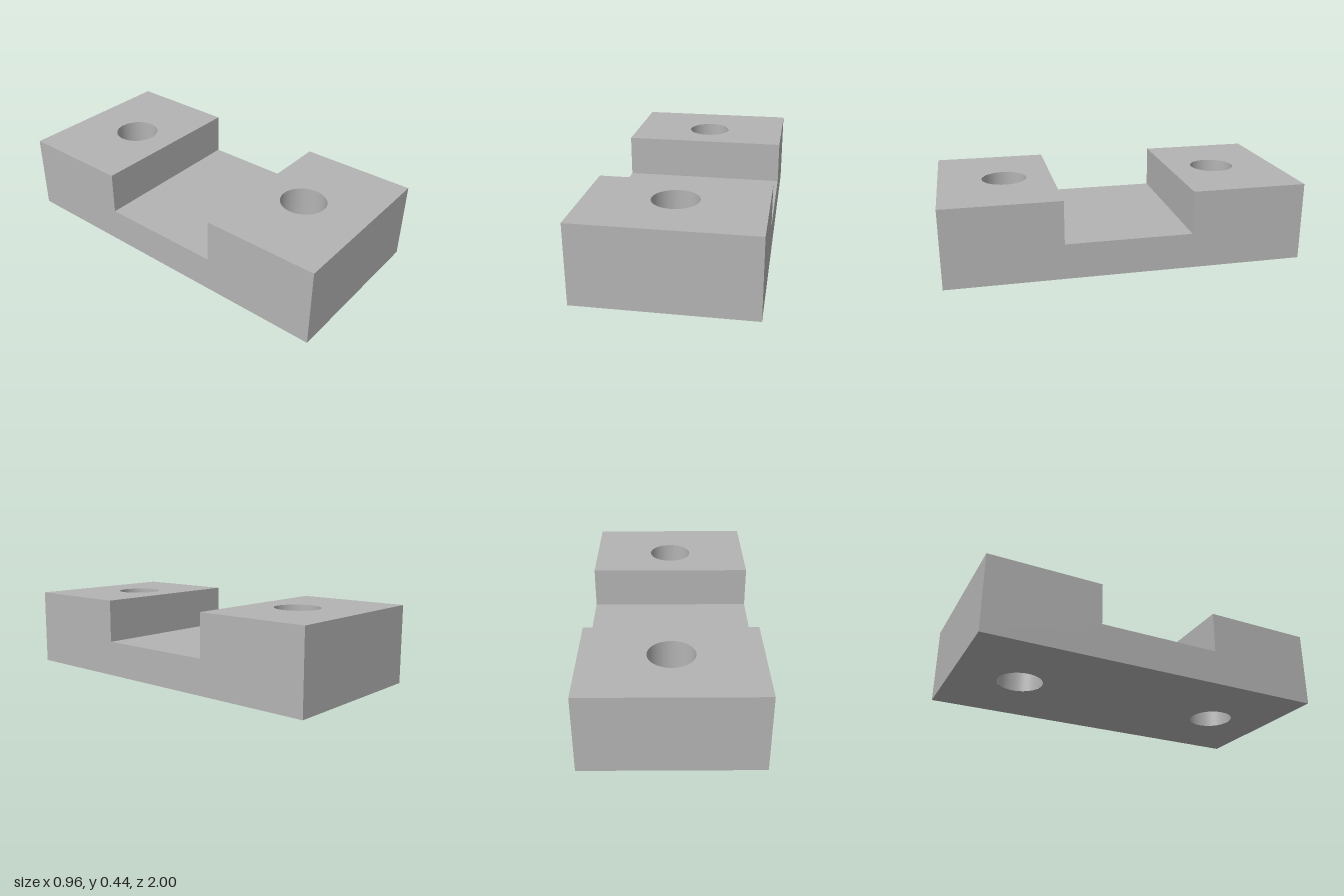
import * as THREE from 'three';
import { mergeGeometries } from 'three/addons/utils/BufferGeometryUtils.js';

const HALF_W = 0.478, HALF_L = 1, HEIGHT = 0.443;
const FLOOR = 0.2, SLOT = 0.355;          // channel floor height and half length
const HOLE_R = 0.127, HOLE_Z = 0.627;
const SEG = 48;

// Flat rectangle centred on the origin, facing +z, with optional holes along its y
function plate(w, h, holes = []) {
  const s = new THREE.Shape([
    [-w / 2, -h / 2], [w / 2, -h / 2], [w / 2, h / 2], [-w / 2, h / 2],
  ].map(([x, y]) => new THREE.Vector2(x, y)));
  for (const y of holes) s.holes.push(new THREE.Path().absarc(0, y, HOLE_R, 0, Math.PI * 2, true));
  return new THREE.ShapeGeometry(s, SEG);
}

export function createModel() {
  const steel = new THREE.MeshStandardMaterial({ color: 0xb4b4b4 });
  steel.name = 'grey metal';

  const model = new THREE.Group();
  model.name = 'clampBlock';
  const padLength = HALF_L - SLOT, padZ = (HALF_L + SLOT) / 2;
  const faces = [];

  // Underside with both bolt holes, and the channel floor
  faces.push(plate(2 * HALF_W, 2 * HALF_L, [-HOLE_Z, HOLE_Z]).rotateX(Math.PI / 2));
  faces.push(plate(2 * HALF_W, 2 * SLOT).rotateX(-Math.PI / 2).translate(0, FLOOR, 0));

  // Stepped side profile
  const profile = new THREE.Shape([
    [-HALF_L, 0], [HALF_L, 0], [HALF_L, HEIGHT], [SLOT, HEIGHT],
    [SLOT, FLOOR], [-SLOT, FLOOR], [-SLOT, HEIGHT], [-HALF_L, HEIGHT],
  ].map(([z, y]) => new THREE.Vector2(z, y)));

  for (const s of [-1, 1]) {
    // Side wall
    faces.push(new THREE.ShapeGeometry(profile).rotateY(s * Math.PI / 2).translate(s * HALF_W, 0, 0));
    // Raised pad top with its hole
    faces.push(plate(2 * HALF_W, padLength, [-s * (HOLE_Z - padZ)])
      .rotateX(-Math.PI / 2).translate(0, HEIGHT, s * padZ));
    // Outer end wall and channel wall
    faces.push(plate(2 * HALF_W, HEIGHT).rotateY(s > 0 ? 0 : Math.PI).translate(0, HEIGHT / 2, s * HALF_L));
    faces.push(plate(2 * HALF_W, HEIGHT - FLOOR).rotateY(s > 0 ? Math.PI : 0)
      .translate(0, (HEIGHT + FLOOR) / 2, s * SLOT));
  }
  const block = new THREE.Mesh(mergeGeometries(faces), steel);
  block.name = 'slottedBlock';
  model.add(block);

  // Smooth bores facing inward
  for (const s of [-1, 1]) {
    const bore = new THREE.Mesh(new THREE.LatheGeometry(
      [new THREE.Vector2(HOLE_R, HEIGHT), new THREE.Vector2(HOLE_R, 0)], SEG), steel);
    bore.name = s > 0 ? 'frontBoltHole' : 'backBoltHole';
    bore.position.z = s * HOLE_Z;
    model.add(bore);
  }
  return model;
}
